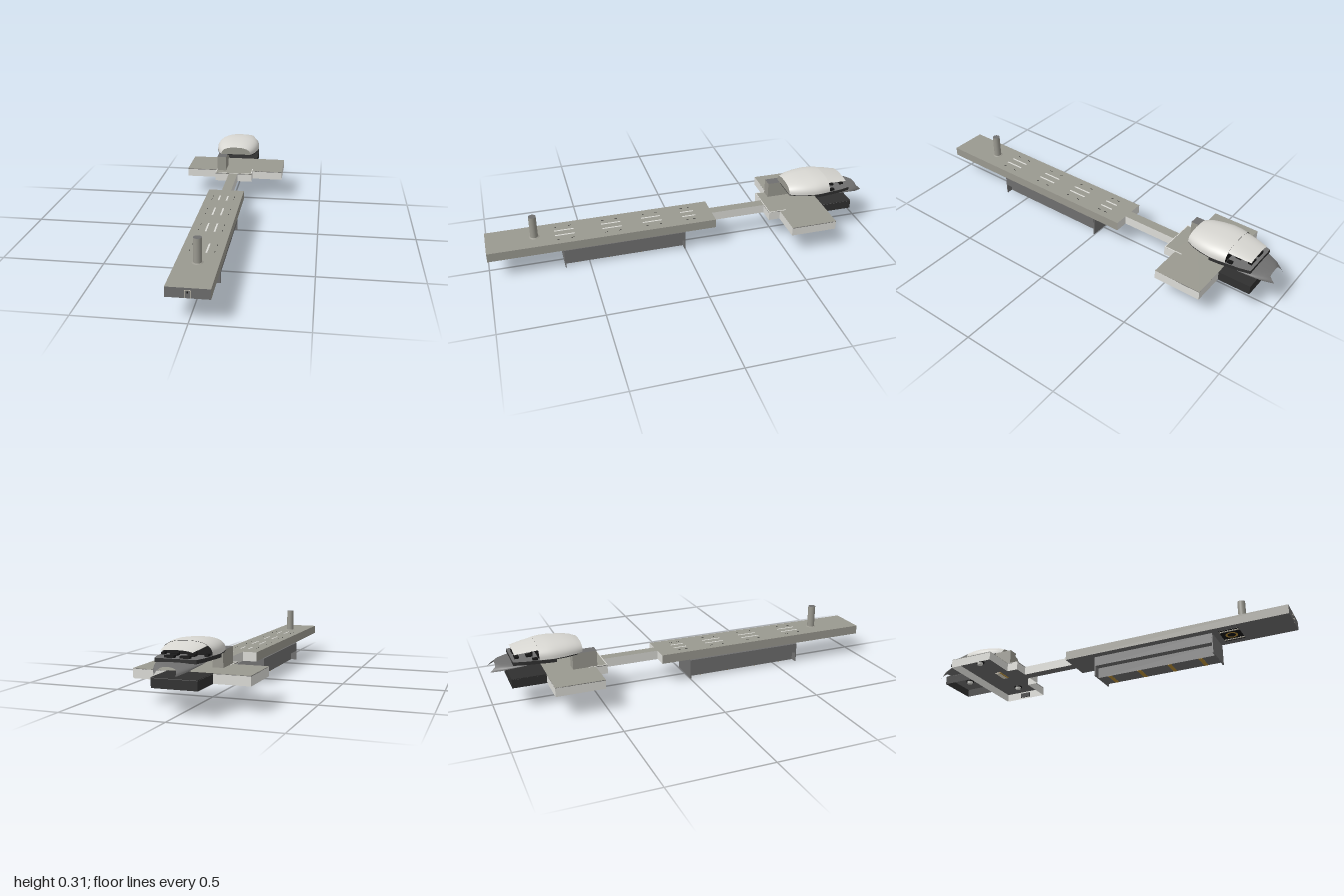
import * as THREE from 'three';

const mat = (name, color, side = THREE.FrontSide) => {
  const m = new THREE.MeshStandardMaterial({ color, side });
  m.name = name;
  return m;
};

export function createModel() {
  const D = THREE.DoubleSide;
  const concrete = mat('concrete', 0x9a9990, D);
  const pale = mat('pale wall', 0xdcdcd7, D);
  const steel = mat('steel', 0x6f6f6f, D);
  const charcoal = mat('charcoal', 0x303030, D);
  const shellWhite = mat('hull white', 0xd8d7d2, D);
  const ochre = mat('ochre', 0xb98f36);
  const cream = mat('cream', 0xe6dfcc);
  const black = mat('black', 0x151515, D);

  const root = new THREE.Group();
  root.name = 'station';
  const add = (name, geo, m, parent = root) => {
    const mesh = new THREE.Mesh(geo, m);
    mesh.name = name;
    parent.add(mesh);
    return mesh;
  };
  // box given by its extents
  const box = (name, x0, x1, y0, y1, z0, z1, m) => {
    const b = add(name, new THREE.BoxGeometry(x1 - x0, y1 - y0, z1 - z0), m);
    b.position.set((x0 + x1) / 2, (y0 + y1) / 2, (z0 + z1) / 2);
    return b;
  };
  const Y0 = 0.117, Y1 = 0.163;

  // extruded plan, points as [x, z], rising from y0 to y1
  const plan = (name, pts, y0, y1, mats) => {
    const s = new THREE.Shape(pts.map(([x, z]) => new THREE.Vector2(x, -z)));
    const g = new THREE.ExtrudeGeometry(s, { depth: y1 - y0, bevelEnabled: false });
    g.rotateX(-Math.PI / 2).translate(0, y0, 0);
    return add(name, g, mats);
  };

  // --- long hall ---
  box('hall', -0.095, 0.095, Y0, Y1, -0.16, 1, [concrete, concrete, concrete, steel, steel, pale]);
  for (const [z0, z1] of [[-0.07, 0], [0.11, 0.21], [0.32, 0.42], [0.56, 0.66]])
    for (const s of [-1, 1]) {
      box('roofLight', s * 0.021 - 0.004, s * 0.021 + 0.004, Y1, Y1 + 0.001, z0, z1, pale);
      for (const z of [z0 + 0.015, z1 - 0.015])
        box('roofVent', s * 0.057 - 0.001, s * 0.057 + 0.001, Y1, Y1 + 0.001, z - 0.007, z + 0.007, black);
    }
  // front door
  for (const s of [-1, 1])
    box('doorPost', s * 0.0125 - 0.001, s * 0.0125 + 0.001, Y0, 0.153, 0.996, 1.0005, cream);
  box('doorLintel', -0.0135, 0.0135, 0.1515, 0.1535, 0.996, 1.0005, cream);
  box('doorWindow', -0.003, 0.003, 0.139, 0.147, 0.996, 1.0005, black);

  // chimney on the roof
  const chimney = new THREE.Group();
  chimney.name = 'chimney';
  chimney.position.set(0, Y1, 0.76);
  root.add(chimney);
  add('chimneyPipe', new THREE.CylinderGeometry(0.019, 0.019, 0.117, 24).translate(0, 0.0585, 0), [concrete, steel, steel], chimney);
  add('chimneyFlange', new THREE.CylinderGeometry(0.02, 0.026, 0.003, 24).translate(0, 0.0015, 0), concrete, chimney);

  // --- hanging trough: wide top, narrow keel, square end plates ---
  box('troughTop', -0.081, 0.081, 0.056, 0.105, 0.003, 0.624, steel);
  box('troughKeel', -0.046, 0.046, 0.002, 0.056, 0.003, 0.624, steel);
  for (const z of [0, 0.622]) box('troughEnd', -0.08, 0.08, 0.003, 0.105, z, z + 0.005, steel);
  for (const z of [0.07, 0.23, 0.39, 0.55]) box('troughBar', -0.045, 0.045, 0.001, 0.003, z - 0.01, z + 0.01, ochre);

  // stair between trough and hall
  for (let i = 0; i < 4; i++)
    box('stairStep', 0.051, 0.075, 0.105 + i * 0.003, 0.108 + i * 0.003, 0.47 - i * 0.011, 0.482 - i * 0.011, cream);
  // hatch under the hall
  const ring = add('hatchRing', new THREE.RingGeometry(0.02, 0.03, 24), ochre);
  ring.rotation.x = Math.PI / 2;
  ring.position.set(0, Y0 - 0.002, 0.7);
  box('hatchOpening', -0.06, 0.06, Y0 - 0.001, Y0, 0.65, 0.75, black);
  for (const s of [-1, 1]) box('hatchRail', s * 0.045 - 0.005, s * 0.045 + 0.005, Y0 - 0.002, Y0, 0.65, 0.75, cream);

  // --- corridor ---
  box('corridor', -0.025, 0.025, Y0, Y1, -0.45, -0.16, [pale, pale, concrete, steel, pale, pale]);

  // --- open-bottomed crossing: roof, ceiling and thin outer walls ---
  const walls = (name, pts, m) => pts.forEach(([x, z], i) => {
    const [u, w] = pts[(i + 1) % pts.length];
    const p = add(name, new THREE.PlaneGeometry(Math.hypot(u - x, w - z), Y1 - Y0), m);
    p.position.set((x + u) / 2, (Y0 + Y1) / 2, (z + w) / 2);
    p.rotation.y = -Math.atan2(w - z, u - x);
  });
  const cross = [[-0.275, -0.51], [-0.105, -0.51], [-0.105, -0.45], [0.105, -0.45], [0.105, -0.51], [0.275, -0.51], [0.275, -0.75], [-0.275, -0.75]];
  plan('crossRoof', cross, Y1 - 0.002, Y1, concrete);
  plan('crossCeiling', cross, Y1 - 0.004, Y1 - 0.002, steel);
  walls('crossWall', cross, pale);
  box('vestibuleTrim', -0.105, 0.105, Y1, Y1 + 0.001, -0.454, -0.45, pale);
  for (const s of [-1, 1]) {
    box('vestibuleTrim', s * 0.1025 - 0.0025, s * 0.1025 + 0.0025, Y1, Y1 + 0.001, -0.545, -0.45, pale);
    // dark panels on the inner walls of the wings
    box('wingSidePanel', s * 0.272 - 0.002, s * 0.272 + 0.002, 0.125, 0.15, -0.66, -0.6, black);
    box('wingFrontPanel', s * 0.225 - 0.022, s * 0.225 + 0.022, 0.125, 0.15, -0.516, -0.512, black);
  }

  // dark rear room
  const rear = [[-0.105, -0.75], [0.105, -0.75], [0.105, -0.915], [-0.105, -0.915]];
  plan('rearRoof', rear, Y1 - 0.002, Y1, charcoal);
  plan('rearCeiling', rear, Y1 - 0.004, Y1 - 0.002, steel);
  walls('rearWall', rear, charcoal);
  // ceiling lamps
  for (const [x, z] of [[-0.19, -0.63], [0.19, -0.63], [0, -0.83]]) {
    add('lampBase', new THREE.CylinderGeometry(0.022, 0.022, 0.004, 20).translate(x, Y1 - 0.006, z), black);
    add('ceilingLamp', new THREE.CylinderGeometry(0.016, 0.013, 0.012, 20).translate(x, Y1 - 0.014, z), pale);
  }
  // table in the crossing
  box('table', -0.07, 0.01, 0.135, 0.14, -0.61, -0.585, cream);
  box('tableEdge', -0.07, 0.01, 0.135, 0.14, -0.585, -0.58, ochre);

  // lift box joining the roof and the cabin
  box('liftShaft', -0.1, -0.049, Y1, 0.243, -0.62, -0.5, [concrete, concrete, steel, steel, concrete, concrete]);

  // --- cabin ---
  // arched skin lofted from rings {z, w, base, top}; a0..a1 limits the arc
  const arch = (name, rings, m, a0 = 0, a1 = Math.PI, shift = () => 0) => {
    const pos = [], idx = [], n = 28;
    const pw = (v) => Math.sign(v) * Math.pow(Math.abs(v), 0.8);
    rings.forEach((r, j) => {
      for (let i = 0; i <= n; i++) {
        const a = a0 + (a1 - a0) * i / n;
        pos.push(r.w * pw(Math.cos(a)), r.base + (r.top - r.base) * pw(Math.sin(a)), r.z + shift(a, j));
        if (j && i < n) {
          const p = j * (n + 1) + i, q = p - n - 1;
          idx.push(q, q + 1, p, p, q + 1, p + 1);
        }
      }
    });
    const g = new THREE.BufferGeometry();
    g.setAttribute('position', new THREE.Float32BufferAttribute(pos, 3));
    g.setIndex(idx);
    g.computeVertexNormals();
    return add(name, g, m);
  };
  const R = (z, w, base, top) => ({ z, w, base, top });
  const hull = [R(-0.565, 0.085, 0.243, 0.284), R(-0.6, 0.104, 0.243, 0.297), R(-0.65, 0.117, 0.243, 0.303),
    R(-0.7, 0.124, 0.243, 0.307), R(-0.74, 0.122, 0.243, 0.307), R(-0.78, 0.116, 0.243, 0.303)];
  arch('hullShell', hull, shellWhite);
  // end walls of the shell
  const endWall = (name, r, m) => arch(name, [r, { ...r, w: 0.0001, top: r.base + 0.0001 }], m);
  endWall('frontBulkhead', hull[0], concrete);
  endWall('rearBulkhead', hull[5], black);
  // canopy above the cockpit
  arch('canopy', [R(-0.78, 0.114, 0.243, 0.302), R(-0.83, 0.106, 0.246, 0.292), R(-0.89, 0.091, 0.25, 0.277)],
    shellWhite, 0.22 * Math.PI, 0.78 * Math.PI);

  // cabin floor and cockpit tub
  const half = (pts) => [...pts, ...pts.slice().reverse().map(([x, z]) => [-x, z])];
  plan('cabinFloor', half([[0.084, -0.566], [0.103, -0.6], [0.117, -0.65], [0.123, -0.71]]), 0.238, 0.243, charcoal);
  plan('cockpitTub', half([[0.124, -0.7], [0.122, -0.74], [0.115, -0.79], [0.107, -0.85], [0.094, -0.9]]),
    0.225, 0.242, [steel, charcoal]);
  // flat nose skin with drooping cheeks and a notched tip
  arch('nose', [R(-0.84, 0.108, 0.222, 0.23), R(-0.9, 0.094, 0.212, 0.228), R(-0.95, 0.076, 0.2, 0.225), R(-1, 0.047, 0.188, 0.221)],
    steel, 0, Math.PI, (a, j) => (j === 3 ? 0.026 * Math.min(1, 1.5 * Math.sin(a)) : 0));

  // cockpit seats and consoles
  for (const s of [-1, 1]) {
    box('seat', s * 0.04 - 0.015, s * 0.04 + 0.015, 0.242, 0.25, -0.83, -0.8, black);
    box('seatBack', s * 0.04 - 0.015, s * 0.04 + 0.015, 0.25, 0.266, -0.806, -0.8, black);
    box('console', s * 0.035 - 0.022, s * 0.035 + 0.022, 0.242, 0.252, -0.885, -0.865, black);
    box('sideLocker', s * 0.1 - 0.008, s * 0.1 + 0.008, 0.242, 0.252, -0.81, -0.785, black);
  }
  return root;
}
